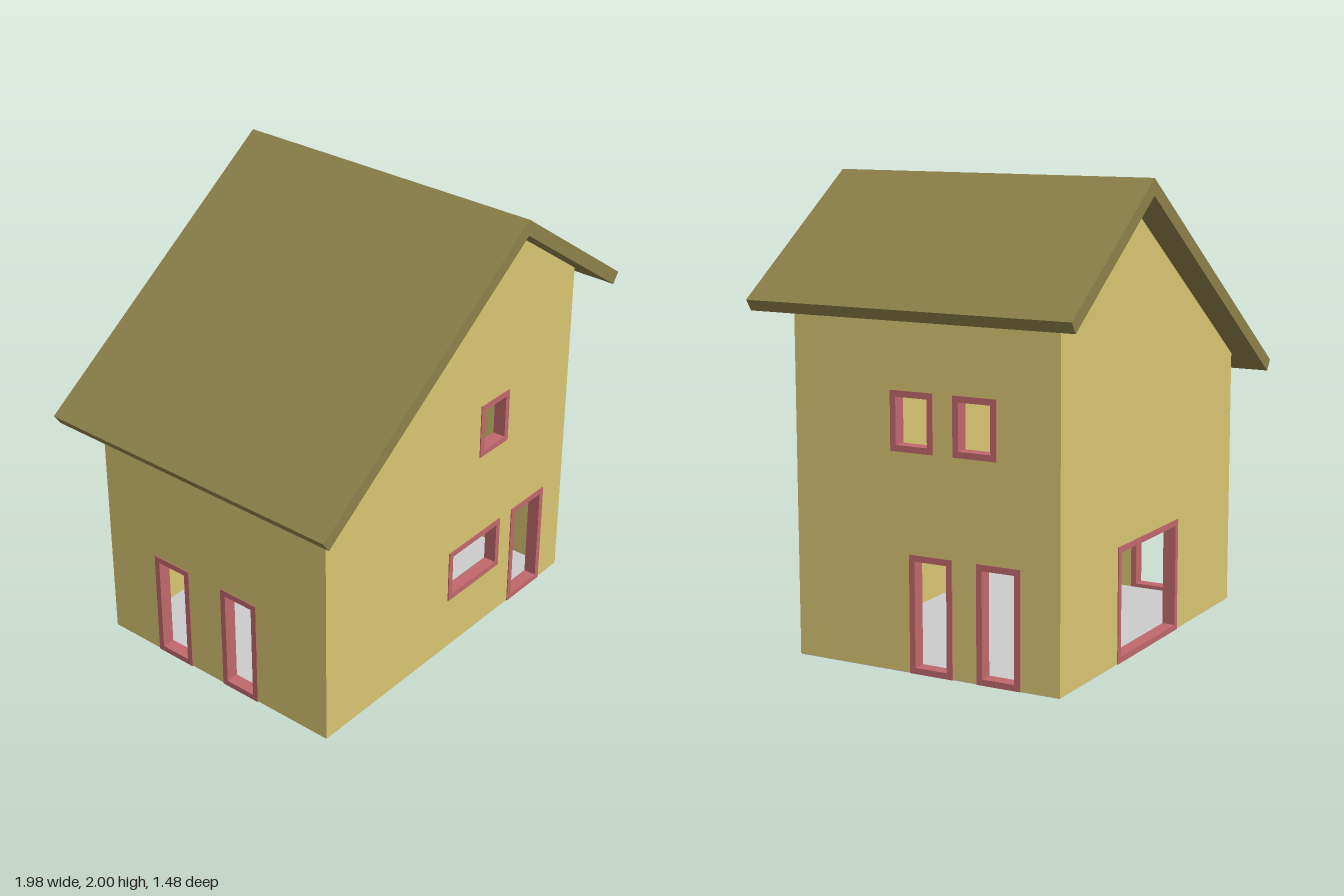
import * as THREE from 'three';

const WALL = new THREE.MeshStandardMaterial({ color: 0xd8c572 });
const TRIM = new THREE.MeshStandardMaterial({ color: 0xc0686b });
const ROOF = new THREE.MeshStandardMaterial({ color: 0x8d8049 });
const FLOOR = new THREE.MeshStandardMaterial({ color: 0xcccccc });

const HALF_X = 0.83, HALF_Z = 0.615, THICK = 0.05, TRIM_W = 0.026;
const RIDGE_X = 0.28, PITCH = 0.7;
const underRoof = (x) => 1.93 - PITCH * Math.abs(x - RIDGE_X);

const polygon = (points) => new THREE.Shape(points.map(([x, y]) => new THREE.Vector2(x, y)));
const rect = (u0, u1, y0, y1) => [[u0, y0], [u1, y0], [u1, y1], [u0, y1]];

function extrude(name, shape, z, depth, material) {
  const geometry = new THREE.ExtrudeGeometry(shape, { depth, bevelEnabled: false });
  const mesh = new THREE.Mesh(geometry, material);
  mesh.name = name;
  mesh.position.z = z;
  return mesh;
}

// One wall with its framed openings, drawn facing +z and then turned into place
function createWall(name, outline, openings, turn, distance) {
  const group = new THREE.Group();
  group.name = name;
  const shape = polygon(outline);
  for (const [kind, u0, u1, y0, y1] of openings) {
    const g = 0.01;
    shape.holes.push(polygon(rect(u0 + g, u1 - g, y0 + g, y1 - g)));
    const frame = polygon(rect(u0, u1, y0, y1));
    frame.holes.push(polygon(rect(u0 + TRIM_W, u1 - TRIM_W, y0 + TRIM_W, y1 - TRIM_W)));
    group.add(extrude(kind + 'Frame', frame, distance - THICK - 0.004, THICK + 0.008, TRIM));
  }
  group.add(extrude(name + 'Panel', shape, distance - THICK, THICK, WALL));
  group.rotation.y = turn;
  return group;
}

// Gable outline; side = -1 mirrors it for the back
function gable(side) {
  const points = [[-HALF_X, 0.003], [HALF_X, 0.003], [HALF_X, underRoof(HALF_X) + 0.01],
    [RIDGE_X, 1.94], [-HALF_X, underRoof(-HALF_X) + 0.01]];
  return side > 0 ? points : points.map(([x, y]) => [-x, y]).reverse();
}

export function createModel() {
  const house = new THREE.Group();
  house.name = 'house';
  const inner = HALF_Z - THICK;

  house.add(createWall('frontWall', gable(1), [
    ['upperWindow', 0.18, 0.38, 0.89, 1.14],
    ['wideWindow', -0.015, 0.352, 0.25, 0.497],
    ['frontDoor', 0.44, 0.685, 0.001, 0.497],
  ], 0, HALF_Z));

  house.add(createWall('backWall', gable(-1), [
    ['terraceDoor', -0.325, 0.26, 0.001, 0.497],
  ], Math.PI, HALF_Z));

  house.add(createWall('leftWall', rect(-inner, inner, 0.003, underRoof(HALF_X) + 0.035), [
    ['leftWindow', -0.155, 0.043, 0.915, 1.163],
    ['leftWindow', 0.135, 0.333, 0.915, 1.163],
    ['leftDoor', -0.072, 0.128, 0.001, 0.497],
    ['leftDoor', 0.24, 0.438, 0.001, 0.497],
  ], Math.PI / 2, HALF_X));

  house.add(createWall('rightWall', rect(-inner, inner, 0.003, underRoof(-HALF_X) + 0.035), [
    ['rightDoor', -0.345, -0.147, 0.001, 0.497],
    ['rightDoor', 0.037, 0.235, 0.001, 0.497],
  ], -Math.PI / 2, HALF_X));

  // Asymmetric roof slab, extruded along the ridge
  const roof = polygon([[RIDGE_X, 2], [-0.99, 1.111], [-0.957, 1.064],
    [RIDGE_X, 1.93], [0.952, 1.459], [0.985, 1.506]]);
  house.add(extrude('roof', roof, -0.74, 1.48, ROOF));

  // Floor slab
  const floor = new THREE.Mesh(
    new THREE.BoxGeometry(2 * HALF_X - 0.004, 0.01, 2 * HALF_Z - 0.004), FLOOR);
  floor.name = 'floor';
  floor.position.y = 0.005;
  house.add(floor);

  return house;
}
